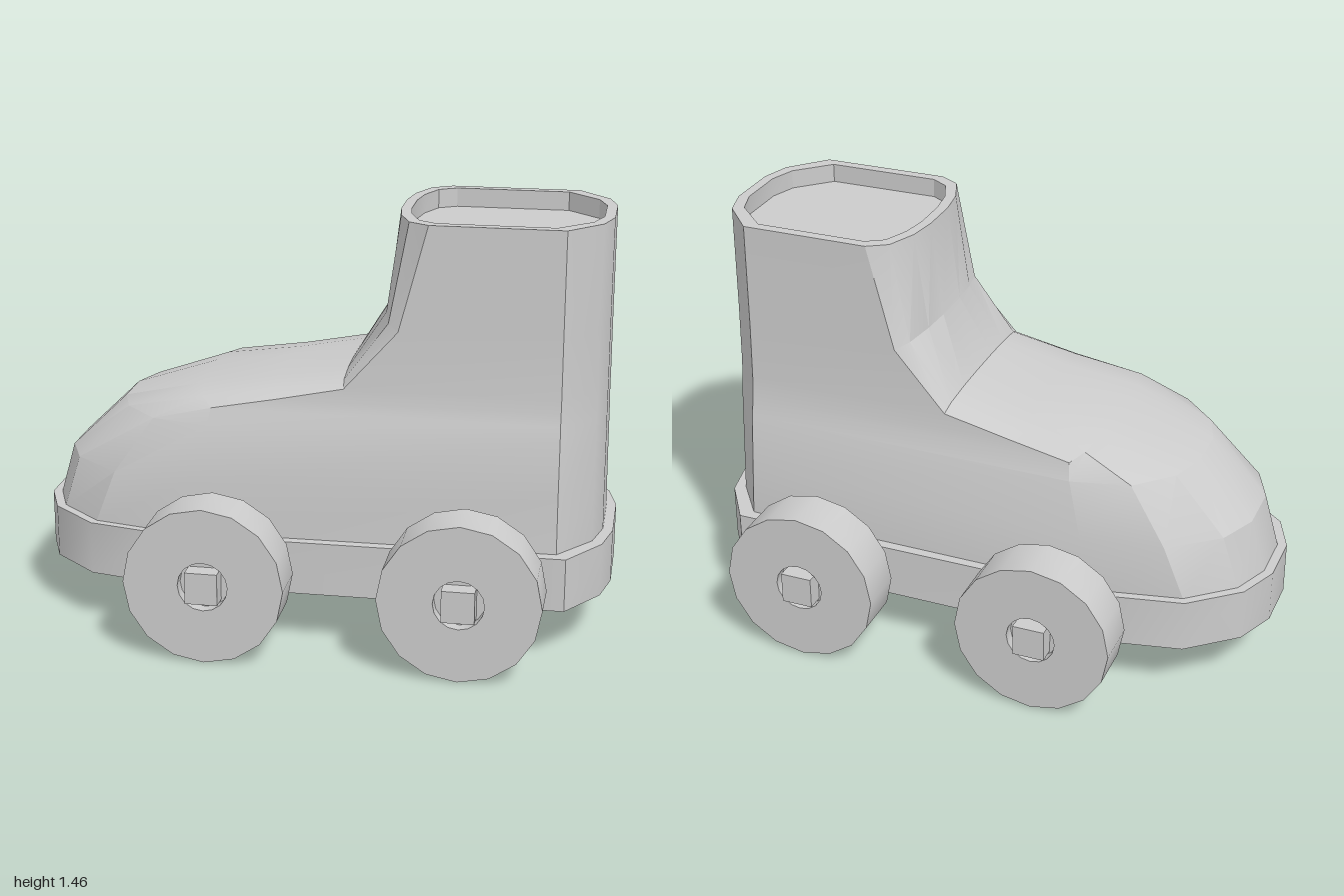
import * as THREE from 'three';
import { toCreasedNormals } from 'three/addons/utils/BufferGeometryUtils.js';

const material = new THREE.MeshStandardMaterial({ color: 0xcccccc });

function part(name, geometry, crease = 0.5) {
  const mesh = new THREE.Mesh(toCreasedNormals(geometry, crease), material);
  mesh.name = name;
  return mesh;
}

// One closed outline: rounded toe at -x, chamfered heel at +x.
// toe/heel: end positions, depth: length of toe curve, w/wh: half widths,
// drop: how far the sides sit below the centre line
function ring({ y, toe, depth, w, heel, wh, drop = 0 }) {
  const half = [[0, 0.22], [0.12, 0.55], [0.45, 0.87], [1, 1]]
    .map(([f, s]) => [toe + f * depth, y - drop * f, s * w]);
  for (const [dx, s] of [[0.14, 1], [0.03, 0.62], [0, 0.3]]) half.push([heel - dx, y - drop, s * wh]);
  return [...half, ...half.map(([x, h, z]) => [x, h, -z]).reverse()];
}

// Skin a stack of outlines and close both ends
function loft(rings) {
  const n = rings[0].length;
  const positions = rings.flat(2);
  const index = [];
  for (let r = 0; r < rings.length - 1; r++) {
    for (let i = 0; i < n; i++) {
      const a = r * n + i, b = r * n + (i + 1) % n;
      index.push(a, b, b + n, a, b + n, a + n);
    }
  }
  const last = (rings.length - 1) * n;
  for (let i = 1; i < n - 1; i++) {
    index.push(0, i + 1, i);
    index.push(last, last + i, last + i + 1);
  }
  const geometry = new THREE.BufferGeometry();
  geometry.setAttribute('position', new THREE.Float32BufferAttribute(positions, 3));
  geometry.setIndex(index);
  return geometry;
}

function wheelAssembly(x, side) {
  const group = new THREE.Group();
  group.name = 'wheelAssembly';

  // Wheel with a recessed hub
  const profile = [[0, 0.455], [0.272, 0.455], [0.272, 0.625], [0.085, 0.625], [0.085, 0.585], [0, 0.585]]
    .map(([r, z]) => new THREE.Vector2(r, z));
  group.add(part('wheel', new THREE.LatheGeometry(profile, 16).rotateX(Math.PI / 2)));

  // Square axle end
  group.add(part('axleEnd', new THREE.BoxGeometry(0.11, 0.11, 0.08).translate(0, 0, 0.605)));

  // Tapered spacer between sole and wheel
  group.add(part('spacer', new THREE.CylinderGeometry(0.07, 0.085, 0.06, 12)
    .rotateX(Math.PI / 2).translate(0, 0, 0.43)));

  group.position.set(x, 0.272, 0);
  if (side < 0) group.rotation.y = Math.PI;
  return group;
}

export function createModel() {
  const model = new THREE.Group();
  model.name = 'rollerSkate';

  // Sole
  const sole = { toe: -1, depth: 0.5, w: 0.435, heel: 0.999, wh: 0.425 };
  model.add(part('sole', loft([ring({ y: 0.19, ...sole }), ring({ y: 0.375, ...sole })])));

  // Boot: toe cap, instep, shaft, then the rim folding into a shallow recess
  const boot = [
    { y: 0.37, toe: -0.97, depth: 0.46, w: 0.405, heel: 0.965, wh: 0.385 },
    { y: 0.56, toe: -0.915, depth: 0.5, w: 0.412, heel: 0.963, wh: 0.37 },
    { y: 0.75, toe: -0.72, depth: 0.36, w: 0.37, heel: 0.962, wh: 0.352 },
    { y: 0.85, toe: -0.42, depth: 0.07, w: 0.345, heel: 0.961, wh: 0.342, drop: 0.045 },
    { y: 0.885, toe: -0.15, depth: 0.02, w: 0.337, heel: 0.961, wh: 0.337, drop: 0.04 },
    { y: 0.93, toe: 0.09, depth: 0.01, w: 0.332, heel: 0.961, wh: 0.332, drop: 0.038 },
    { y: 1.125, toe: 0.21, depth: 0.07, w: 0.327, heel: 0.96, wh: 0.327, drop: 0.03 },
    { y: 1.455, toe: 0.25, depth: 0.125, w: 0.325, heel: 0.96, wh: 0.325 },
    { y: 1.455, toe: 0.285, depth: 0.11, w: 0.288, heel: 0.925, wh: 0.288 },
    { y: 1.39, toe: 0.285, depth: 0.11, w: 0.288, heel: 0.925, wh: 0.288 },
  ];
  model.add(part('boot', loft(boot.map(ring)), 0.45));

  // Four wheels
  for (const x of [-0.322, 0.53]) {
    for (const side of [1, -1]) model.add(wheelAssembly(x, side));
  }
  return model;
}
